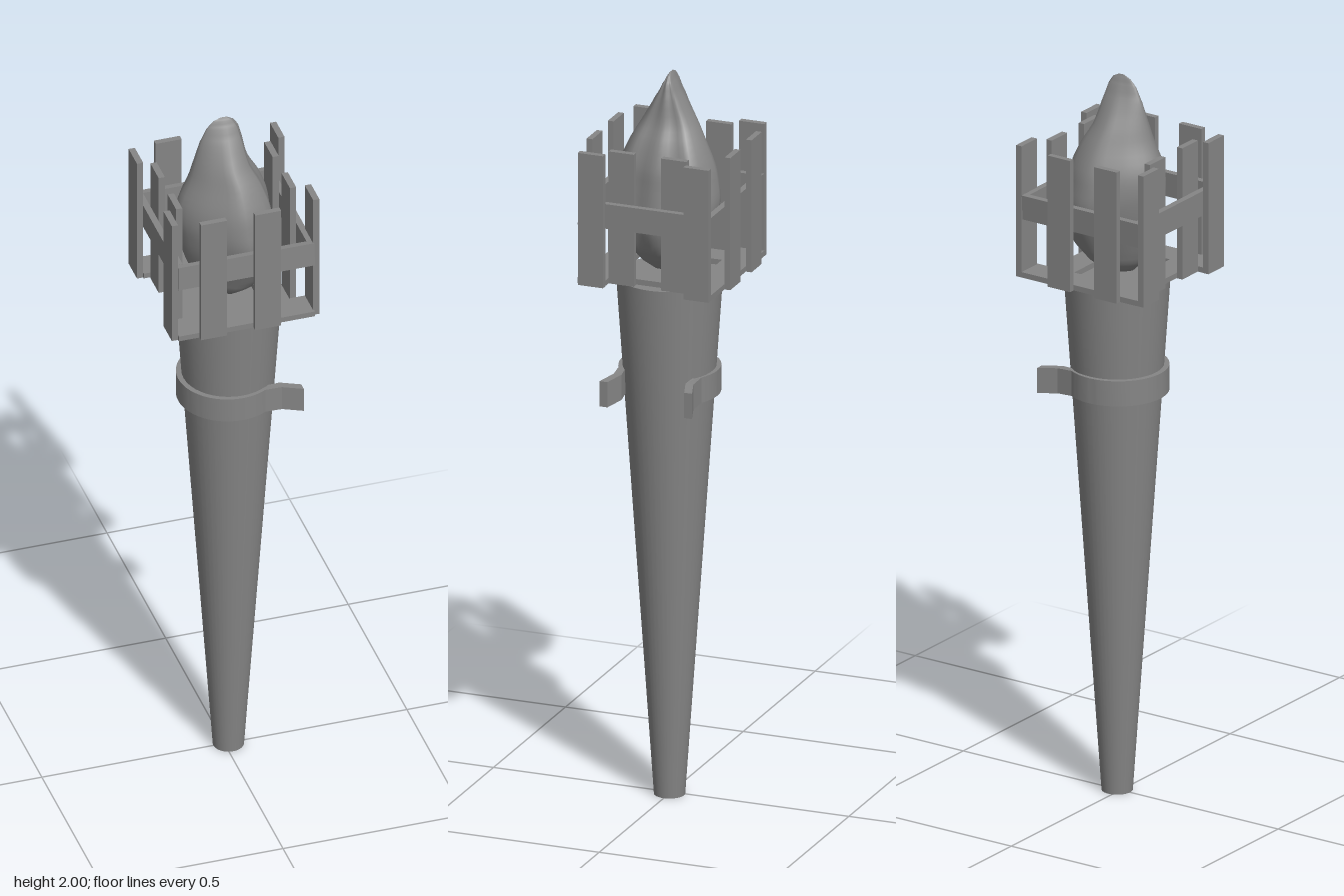
import * as THREE from 'three';
import { toCreasedNormals } from 'three/addons/utils/BufferGeometryUtils.js';

const material = new THREE.MeshStandardMaterial({ color: 0x858585 });

function addMesh(parent, name, geometry) {
  const mesh = new THREE.Mesh(geometry, material);
  mesh.name = name;
  parent.add(mesh);
  return mesh;
}

// Box given by its limits on each axis
function addBoard(parent, name, [x0, x1], [y0, y1], [z0, z1]) {
  const mesh = addMesh(parent, name, new THREE.BoxGeometry(x1 - x0, y1 - y0, z1 - z0));
  mesh.position.set((x0 + x1) / 2, (y0 + y1) / 2, (z0 + z1) / 2);
  return mesh;
}

// Strap bent around the handle, with two tails folded outwards towards +x
function strapGeometry() {
  const cx = 0.008, inner = 0.113, outer = 0.134, turn = Math.PI / 3;
  const shape = new THREE.Shape();
  shape.moveTo(0.176, 0.13);
  shape.lineTo(0.122, 0.112);
  shape.absarc(cx, 0, outer, turn, 2 * Math.PI - turn, false);
  shape.lineTo(0.122, -0.112);
  shape.lineTo(0.176, -0.13);
  shape.lineTo(0.176, -0.108);
  shape.lineTo(0.122, -0.09);
  shape.absarc(cx, 0, inner, 2 * Math.PI - turn, turn, true);
  shape.lineTo(0.122, 0.09);
  shape.lineTo(0.176, 0.108);
  shape.closePath();
  const geometry = new THREE.ExtrudeGeometry(shape, { depth: 0.07, bevelEnabled: false, curveSegments: 32 });
  geometry.rotateX(-Math.PI / 2);
  // The tails droop slightly
  const p = geometry.attributes.position;
  for (let i = 0; i < p.count; i++) p.setY(i, p.getY(i) - 0.1 * Math.max(0, p.getX(i) - 0.08));
  return toCreasedNormals(geometry, 0.4);
}

// Flame lofted through rings of [y, xMin, xMax, half depth]
function flameGeometry() {
  const rings = [
    [1.46, -0.04, 0.04, 0.04], [1.49, -0.07, 0.075, 0.075], [1.53, -0.09, 0.11, 0.1],
    [1.6, -0.115, 0.134, 0.135], [1.66, -0.127, 0.128, 0.146], [1.71, -0.133, 0.121, 0.14],
    [1.76, -0.125, 0.113, 0.128], [1.82, -0.1, 0.09, 0.102], [1.87, -0.085, 0.062, 0.074],
    [1.93, -0.068, 0.048, 0.04], [1.97, -0.05, 0.037, 0.018], [1.99, -0.032, 0.023, 0.007],
    [2, -0.01, 0.004, 0.001],
  ];
  const half = [[0.88, 0.38], [0.83, 0.74], [0.2, 1], [-0.32, 0.76], [-0.76, 0.42]];
  const outline = new THREE.CatmullRomCurve3([
    [1, 0], ...half, [-1, 0], ...half.map(([x, z]) => [x, -z]).reverse(),
  ].map(([x, z]) => new THREE.Vector3(x, 0, z)), true);
  const extents = new THREE.CatmullRomCurve3(rings.map((r) => new THREE.Vector3(r[1], r[2], r[3])), false, 'catmullrom');
  const sides = 36, rows = (rings.length - 1) * 3;
  const positions = [], index = [];
  for (let i = 0; i <= rows; i++) {
    const k = Math.min(Math.floor(i / 3), rings.length - 2);
    const y = THREE.MathUtils.lerp(rings[k][0], rings[k + 1][0], i / 3 - k);
    const e = extents.getPoint(i / rows);
    for (let j = 0; j < sides; j++) {
      const o = outline.getPoint(j / sides);
      positions.push(THREE.MathUtils.lerp(e.x, e.y, (o.x + 1) / 2), y, o.z * e.z);
      if (i === rows) continue;
      const a = i * sides + j, b = i * sides + (j + 1) % sides;
      index.push(a, a + sides, b, b, a + sides, b + sides);
    }
  }
  // Close the underside
  const centre = positions.length / 3;
  positions.push(0, rings[0][0], 0);
  for (let j = 0; j < sides; j++) index.push(centre, j, (j + 1) % sides);
  const geometry = new THREE.BufferGeometry();
  geometry.setAttribute('position', new THREE.Float32BufferAttribute(positions, 3));
  geometry.setIndex(index);
  geometry.computeVertexNormals();
  return geometry;
}

export function createModel() {
  const torch = new THREE.Group();
  torch.name = 'torch';

  // Tapered handle
  const handle = addMesh(torch, 'handle', new THREE.CylinderGeometry(0.14, 0.041, 1.44, 40));
  handle.position.set(0.011, 0.72, 0);

  const strap = addMesh(torch, 'strap', strapGeometry());
  strap.position.y = 1.12;

  // Slatted cage
  const cage = new THREE.Group();
  cage.name = 'cage';
  torch.add(cage);
  const floorY = [1.449, 1.464], slatY = [1.449, 1.815], railY = [1.61, 1.678];

  // Floor planks, leaving a gap over the handle
  addBoard(cage, 'floorPlankFront', [-0.185, 0.188], floorY, [0.111, 0.188]);
  addBoard(cage, 'floorPlankBack', [-0.185, 0.188], floorY, [-0.187, -0.111]);
  addBoard(cage, 'floorPlankRight', [-0.15, -0.079], floorY, [-0.111, 0.111]);
  addBoard(cage, 'floorPlankLeft', [0.071, 0.142], floorY, [-0.111, 0.111]);

  // Rails around the middle; the front and back ones lean back slightly
  const railFront = addBoard(cage, 'railFront', [-0.185, 0.188], railY, [0.169, 0.185]);
  const railBack = addBoard(cage, 'railBack', [-0.185, 0.188], railY, [-0.184, -0.168]);
  for (const rail of [railFront, railBack]) rail.rotation.x = -0.06;
  addBoard(cage, 'railRight', [-0.185, -0.168], railY, [-0.169, 0.167]);
  addBoard(cage, 'railLeft', [0.171, 0.188], railY, [-0.169, 0.167]);

  // Front and back slats
  for (const x of [[-0.128, -0.057], [0.02, 0.091]]) {
    addBoard(cage, 'slatFront', x, slatY, [0.185, 0.201]);
    addBoard(cage, 'slatBack', x, slatY, [-0.203, -0.187]);
  }

  // Side slats: outside the rail at the corners, inside it in the middle
  for (const z of [[0.11, 0.181], [-0.187, -0.116]]) {
    addBoard(cage, 'cornerSlatRight', [-0.202, -0.185], slatY, z);
    addBoard(cage, 'cornerSlatLeft', [0.185, 0.202], slatY, z);
  }
  for (const z of [[0.04, 0.111], [-0.108, -0.037]]) {
    addBoard(cage, 'innerSlatRight', [-0.168, -0.151], slatY, z);
    addBoard(cage, 'innerSlatLeft', [0.144, 0.161], slatY, z);
  }

  addMesh(torch, 'flame', flameGeometry());
  return torch;
}
